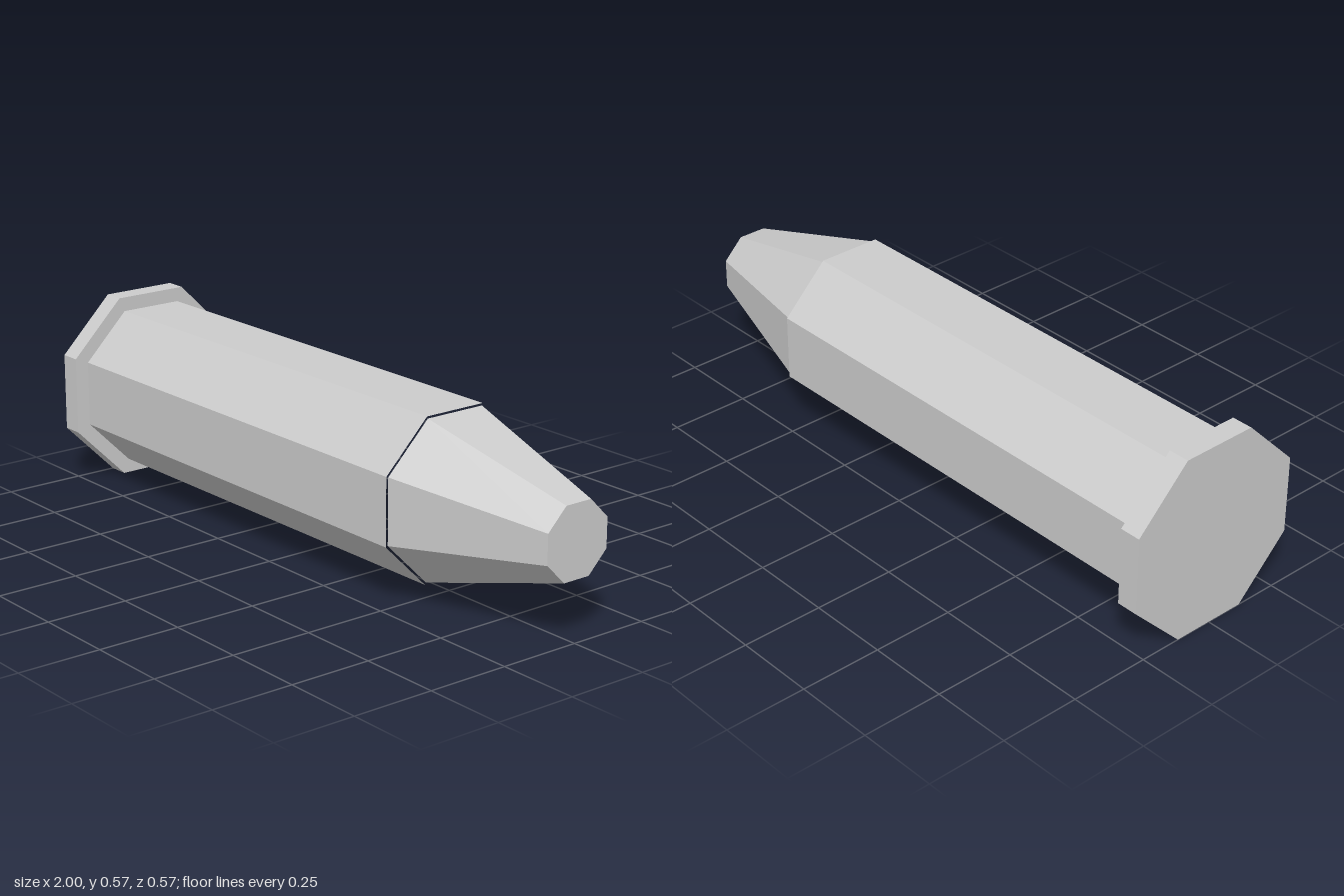
import * as THREE from 'three';

const SIDES = 8;
const AXIS_Y = 0.287;

export function createModel() {
  const group = new THREE.Group();
  const grey = new THREE.MeshStandardMaterial({ color: 0xcccccc });
  grey.name = 'light grey';
  grey.flatShading = true;

  // Eight-sided section along x, sized by its flat-to-flat half width
  function section(name, x0, x1, half0, half1, open) {
    const k = 1 / Math.cos(Math.PI / SIDES);
    const geo = new THREE.CylinderGeometry(
      half1 * k, half0 * k, x1 - x0, SIDES, 1, open, Math.PI / SIDES);
    geo.rotateZ(-Math.PI / 2);
    geo.translate((x0 + x1) / 2, AXIS_Y, 0);
    const mesh = new THREE.Mesh(geo, grey);
    mesh.name = name;
    group.add(mesh);
  }

  // Wide end flange
  section('rim', -1, -0.935, 0.287, 0.287, false);
  // Long open sleeve
  section('casing', -0.935, 0.513, 0.243, 0.243, true);
  // Blunt tapered tip, slightly narrower than the sleeve
  section('taperedTip', 0.513, 1, 0.2365, 0.107, false);

  return group;
}
